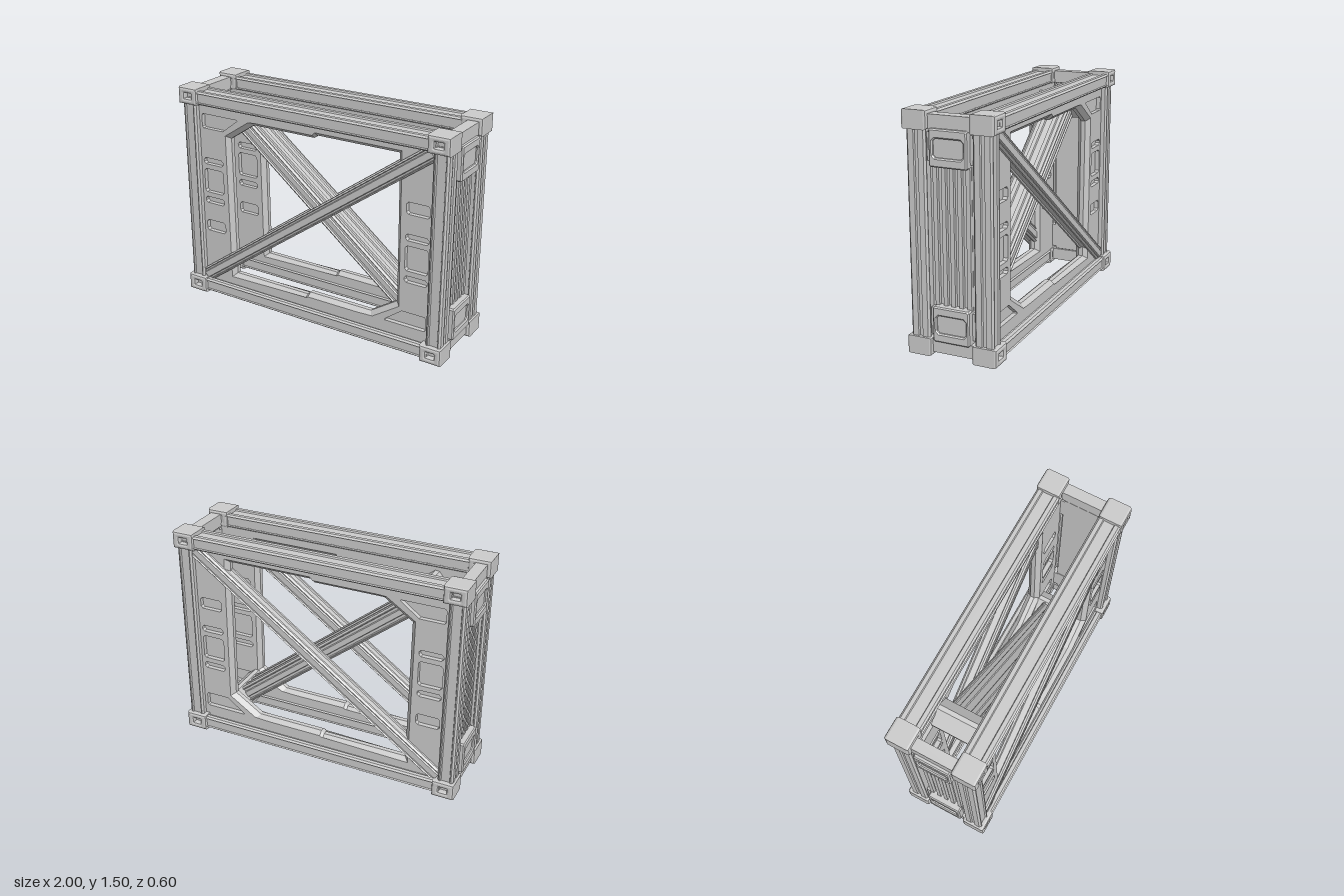
import * as THREE from 'three';

const MID = 0.75; // half height, centre of the rotational symmetry of the panels
const material = new THREE.MeshStandardMaterial({ color: 0xcccccc, flatShading: true });

function add(parent, name, geometry, x = 0, y = 0, z = 0) {
  const mesh = new THREE.Mesh(geometry, material);
  mesh.name = name;
  mesh.position.set(x, y, z);
  parent.add(mesh);
  return mesh;
}
const box = (w, h, d) => new THREE.BoxGeometry(w, h, d);
const toShape = (pts) => new THREE.Shape(pts.map(([x, y]) => new THREE.Vector2(x, y)));
const turn = ([x, y]) => [-x, 2 * MID - y]; // half turn about the face centre
const extrude = (shape, depth) => new THREE.ExtrudeGeometry(shape, { depth, bevelEnabled: false });

// Rectangle with cut corners
function cutRect(x0, y0, x1, y1, c) {
  return [[x0 + c, y0], [x1 - c, y0], [x1, y0 + c], [x1, y1 - c],
    [x1 - c, y1], [x0 + c, y1], [x0, y1 - c], [x0, y0 + c]];
}

// Beam along z with grooves [centre, halfWidth] running down its four sides
function groovedBeam(w, h, length, sideGrooves, topGrooves, depth = 0.01, c = 0.012) {
  const pts = [];
  for (let k = 0; k < 4; k++) {
    const [half, dist, grooves] = k % 2 ? [h / 2, w / 2, sideGrooves] : [w / 2, h / 2, topGrooves];
    const side = [[-half + c, -dist]];
    for (const [m, g] of grooves) {
      side.push([m - g - 0.005, -dist], [m - g, depth - dist], [m + g, depth - dist], [m + g + 0.005, -dist]);
    }
    side.push([half - c, -dist]);
    for (let [x, y] of side) {
      for (let i = 0; i < k; i++) [x, y] = [-y, x];
      pts.push([x, y]);
    }
  }
  return extrude(toShape(pts), length).translate(0, 0, -length / 2);
}

// Panel opening (half of it, the other half by a half turn)
const halfOpening = [[-0.63, 0.18], [-0.04, 0.18], [-0.02, 0.2], [0.45, 0.2], [0.64, 0.325]];
const opening = [...halfOpening, ...halfOpening.map(turn)];
const windows = [
  ...[[0.47, 0.55], [0.68, 0.725], [0.76, 0.93], [0.965, 1.01]].map(([a, b]) => cutRect(-0.86, a, -0.7, b, 0.014)),
  [[-0.86, 1.23], [-0.85, 1.22], [-0.69, 1.22], [-0.565, 1.315], [-0.57, 1.32], [-0.85, 1.32], [-0.86, 1.31]],
];

// One panel layer; the outer layers have windows and a chamfered opening
function panelLayer(depth, outer) {
  const shape = toShape([[-0.91, 0.09], [0.91, 0.09], [0.91, 1.41], [-0.91, 1.41]]);
  shape.holes.push(toShape(opening));
  if (outer) for (const w of windows) shape.holes.push(toShape(w), toShape(w.map(turn)));
  const geometry = extrude(shape, depth);
  if (!outer) return geometry;
  const p = geometry.attributes.position;
  for (let i = 0; i < p.count; i++) {
    const x = p.getX(i), y = p.getY(i);
    if (p.getZ(i) > depth / 2 && opening.some(([a, b]) => Math.hypot(a - x, b - y) < 1e-4)) {
      p.setXY(i, x * 1.045, MID + (y - MID) * 1.045);
    }
  }
  geometry.computeVertexNormals();
  return geometry;
}

// Corner block with a pocket on its outer face
function cornerBlock(parent, x, y) {
  const b = 0.016;
  const shape = toShape([[-0.075 + b, -0.0575 + b], [0.075 - b, -0.0575 + b],
    [0.075 - b, 0.0575 - b], [-0.075 + b, 0.0575 - b]]);
  shape.holes.push(toShape(cutRect(-0.044, -0.034, 0.044, 0.034, 0.01)));
  const geometry = new THREE.ExtrudeGeometry(shape, {
    depth: 0.165 - 2 * b, bevelThickness: b, bevelSize: b, bevelSegments: 2,
  });
  add(parent, 'cornerBlock', geometry, x, y, 0.135 + b);
  add(parent, 'cornerPocketFloor', box(0.1, 0.08, 0.12), x, y, 0.2);
}

// Long face: posts, rails, corner blocks, cut-out panel and diagonal brace
function buildFace() {
  const face = new THREE.Group();
  face.name = 'longFace';
  for (const s of [-1, 1]) {
    const post = groovedBeam(0.105, 0.125, 1.36, [[0, 0.009]], [[0, 0.028]]).rotateX(-Math.PI / 2);
    add(face, 'cornerPost', post, s * 0.933, MID, 0.213);
    const rail = groovedBeam(0.155, 0.09, 1.8, [[0, 0.03]], [[0, 0.035]]).rotateY(Math.PI / 2);
    add(face, 'longRail', rail, 0, MID + s * 0.687, 0.213);
    for (const t of [-1, 1]) cornerBlock(face, t * 0.925, MID + s * 0.6925);
  }
  add(face, 'panelOuterLayer', panelLayer(0.03, true), 0, 0, 0.205);
  add(face, 'panelCore', panelLayer(0.03, false), 0, 0, 0.175);
  add(face, 'panelInnerLayer', panelLayer(0.03, true).translate(0, 0, -0.175)).scale.z = -1;
  const brace = groovedBeam(0.1, 0.1, 2.14, [[-0.03, 0.005], [0.03, 0.005]], [[0, 0.02]])
    .rotateY(Math.PI / 2).rotateZ(Math.atan(0.72));
  add(face, 'faceBrace', brace, 0, MID, 0.213);
  return face;
}

// Narrow end at +x: cross rails, ribbed wall and two framed boxes
function buildEnd() {
  const end = new THREE.Group();
  end.name = 'narrowEnd';
  add(end, 'ribbedWall', box(0.03, 1.1, 0.244), 0.92, MID, 0);
  for (const z of [-0.107, -0.052, 0, 0.052, 0.107]) {
    add(end, 'wallRib', box(0.025, 1.1, 0.027), 0.945, MID, z);
  }
  for (const s of [-1, 1]) {
    add(end, 'crossRail', box(0.075, 0.085, 0.29), 0.938, MID + s * 0.685, 0);
    add(end, 'boxBracket', box(0.05, 0.17, 0.31), 0.928, MID + s * 0.535, 0);
    add(end, 'boxCore', box(0.08, 0.2, 0.23), 0.942, MID + s * 0.537, 0);
    const frame = toShape(cutRect(-0.114, -0.104, 0.114, 0.104, 0.005));
    frame.holes.push(toShape(cutRect(-0.105, -0.064, 0.105, 0.064, 0.02)));
    const geometry = new THREE.ExtrudeGeometry(frame, {
      depth: 0.07, bevelThickness: 0.008, bevelSize: 0.008, bevelSegments: 1,
    }).rotateY(Math.PI / 2);
    add(end, 'boxFrame', geometry, 0.921, MID + s * 0.537, 0);
  }
  return end;
}

export function createModel() {
  const model = new THREE.Group();
  model.name = 'trussFrame';

  const front = buildFace();
  const back = buildFace();
  back.scale.z = -1;
  const leftEnd = buildEnd();
  const rightEnd = buildEnd();
  rightEnd.rotation.y = Math.PI;
  model.add(front, back, leftEnd, rightEnd);

  // Wide central brace leaning the other way, held by a crossbar at each end
  const angle = -Math.atan(0.8);
  const wide = [[-0.07, 0.012], [0, 0.02], [0.07, 0.012]];
  const brace = groovedBeam(0.214, 0.119, 1.7, [[-0.03, 0.008], [0.03, 0.008]], wide)
    .rotateY(Math.PI / 2).rotateZ(angle);
  add(model, 'centralBrace', brace, 0, MID, 0);
  for (const s of [-1, 1]) {
    const bar = groovedBeam(0.12, 0.17, 0.3, [], [], 0.01, 0.02).rotateZ(angle);
    add(model, 'crossbar', bar, s * 0.665, MID - s * 0.53, 0);
  }
  return model;
}
